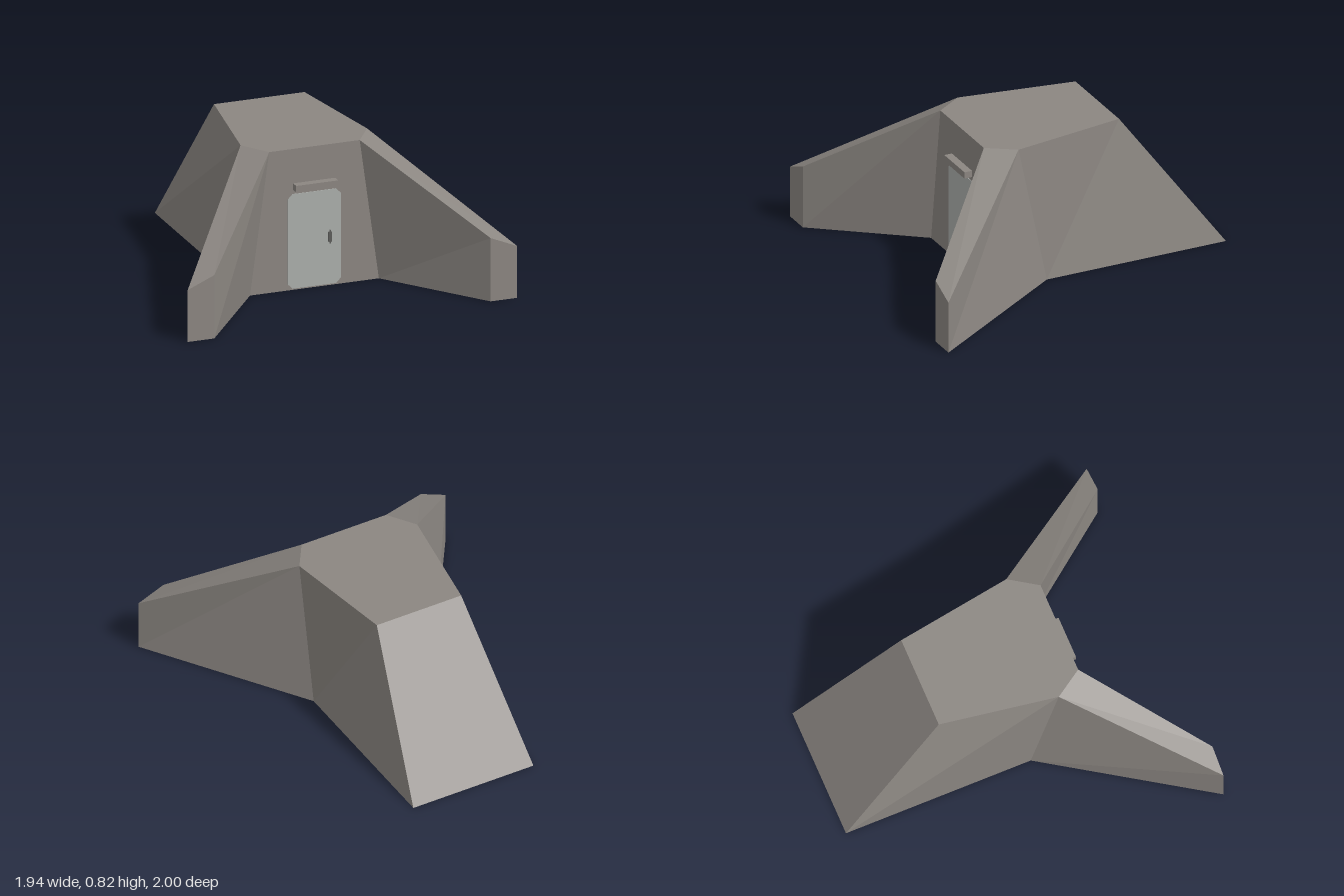
import * as THREE from 'three';

const wall = new THREE.MeshStandardMaterial({ color: 0x8b8681 });
wall.name = 'warm grey concrete';
const doorGrey = new THREE.MeshStandardMaterial({ color: 0xabaeab });
doorGrey.name = 'pale door grey';
const metal = new THREE.MeshStandardMaterial({ color: 0x5c5c5a });
metal.name = 'dark metal';

// Flat-shaded shell made of convex faces, corners anticlockwise from outside
function shell(name, faces) {
  const pos = [];
  for (const f of faces)
    for (let i = 1; i < f.length - 1; i++) pos.push(...f[0], ...f[i], ...f[i + 1]);
  const geo = new THREE.BufferGeometry();
  geo.setAttribute('position', new THREE.Float32BufferAttribute(pos, 3));
  geo.computeVertexNormals();
  const mesh = new THREE.Mesh(geo, wall);
  mesh.name = name;
  return mesh;
}

const mirror = ([x, y, z]) => [-x, y, z];
const mirrorFace = f => f.map(mirror).reverse();

// Thin upright plate with chamfered corners
function plate(name, w, h, chamfer, depth, material, x, y, z) {
  const a = w / 2, b = h / 2, c = chamfer;
  const outline = [[-a + c, -b], [a - c, -b], [a, -b + c], [a, b - c],
    [a - c, b], [-a + c, b], [-a, b - c], [-a, -b + c]];
  const shape = new THREE.Shape(outline.map(p => new THREE.Vector2(...p)));
  const mesh = new THREE.Mesh(new THREE.ExtrudeGeometry(shape, { depth, bevelEnabled: false }), material);
  mesh.name = name;
  mesh.position.set(x, y, z);
  return mesh;
}

export function createModel() {
  const group = new THREE.Group();
  group.name = 'bunkerEntrance';

  // Corners of the +x half
  const H = 0.823, zf = 0.43;
  const frontLow = [0.38, 0, zf], frontTop = [0.267, H, zf];
  const shoulder = [0.373, H, 0.27], backTop = [0.267, H, -0.4];
  const backLow = [0.38, 0, -1], sideLow = [0.38, 0, 0.1];
  const outLow = [0.972, 0, 1], outTop = [0.972, 0.303, 1];
  const inLow = [0.815, 0, 1], inTop = [0.815, 0.37, 1];

  // Main body: front, sloping back, roof, underside and both sides
  const side = [sideLow, backLow, backTop, shoulder];
  group.add(shell('body', [
    [mirror(frontLow), frontLow, frontTop, mirror(frontTop)],
    [backLow, mirror(backLow), mirror(backTop), backTop],
    [mirror(frontTop), frontTop, shoulder, backTop, mirror(backTop), mirror(shoulder)],
    [mirror(backLow), backLow, frontLow, mirror(frontLow)],
    side, mirrorFace(side),
  ]));

  // Splayed retaining walls
  const wing = [
    [outLow, sideLow, shoulder, outTop],
    [inLow, outLow, outTop, inTop],
    [frontLow, inLow, inTop, frontTop],
    [frontTop, inTop, outTop, shoulder],
    [frontLow, sideLow, outLow, inLow],
  ];
  group.add(shell('leftWingWall', wing), shell('rightWingWall', wing.map(mirrorFace)));

  // Door, handle and the ledge above
  group.add(plate('door', 0.312, 0.552, 0.028, 0.004, doorGrey, -0.002, 0.284, zf));
  group.add(plate('doorHandle', 0.022, 0.06, 0.004, 0.005, metal, 0.09, 0.284, zf + 0.004));
  group.add(plate('handleSpindle', 0.008, 0.08, 0.002, 0.004, metal, 0.09, 0.284, zf + 0.004));
  const ledge = new THREE.Mesh(new THREE.BoxGeometry(0.248, 0.038, 0.046), wall);
  ledge.name = 'doorLedge';
  ledge.position.set(-0.002, 0.603, zf + 0.023);
  group.add(ledge);

  return group;
}
